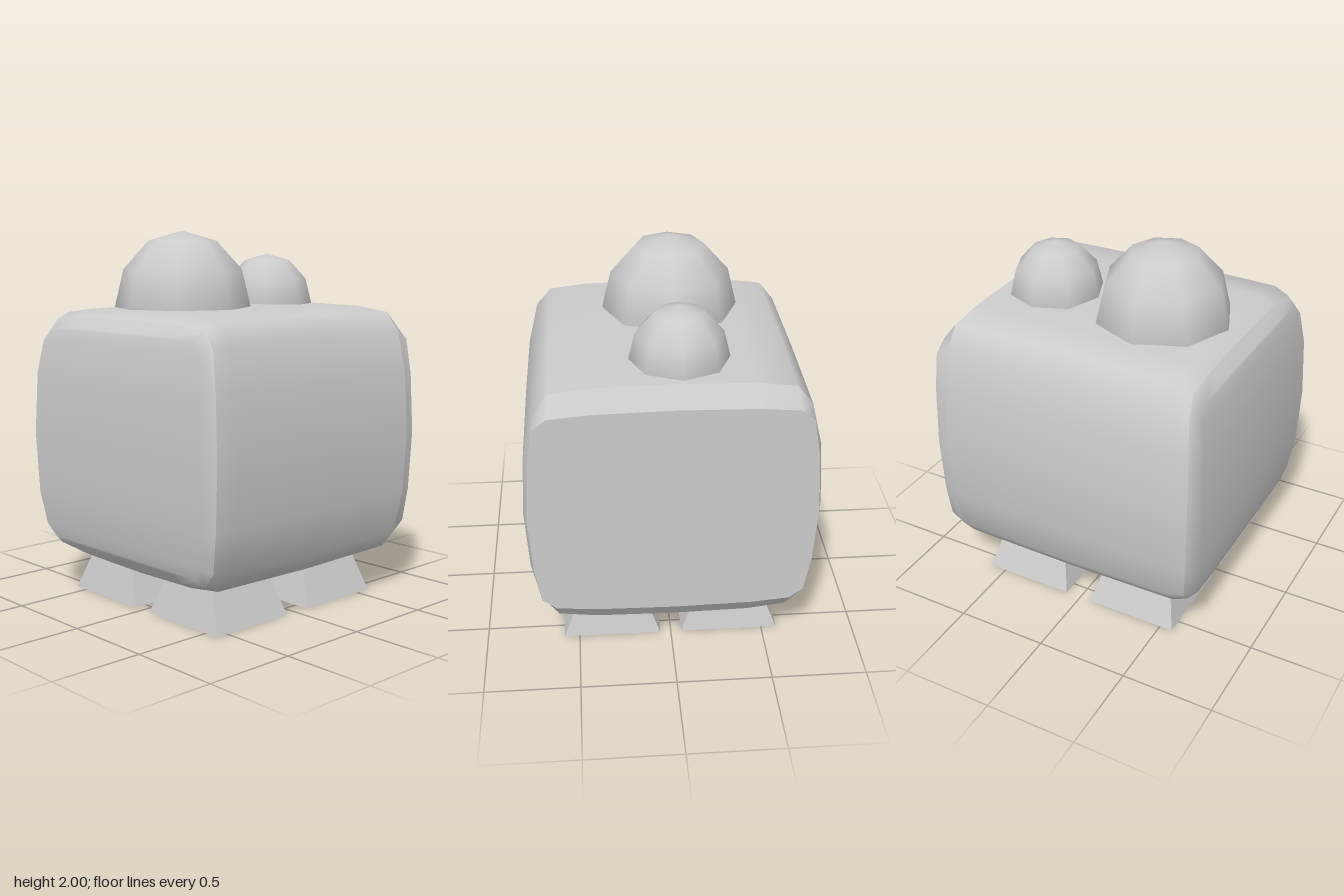
import * as THREE from 'three';

const grey = new THREE.MeshStandardMaterial({ color: 0xcccccc });
const MID = 0.9; // height of the body's middle

// Quarter cross-sections as [z, height from the middle], side to top.
const FULL = [[0.76, 0], [0.738, 0.33], [0.68, 0.57], [0.6, 0.67], [0.4, 0.695], [0, 0.705]];
const NEAR = [[0.755, 0], [0.735, 0.33], [0.68, 0.56], [0.6, 0.66], [0.4, 0.685], [0, 0.692]];
const LEFT_RIM = [[0.735, 0], [0.715, 0.33], [0.67, 0.54], [0.595, 0.625], [0.4, 0.645], [0, 0.65]];
const WALL = [[0.67, 0], [0.66, 0.33], [0.635, 0.51], [0.575, 0.575], [0.4, 0.587], [0, 0.59]];
const FLAT = [[0.735, 0], [0.715, 0.32], [0.68, 0.51], [0.61, 0.565], [0.4, 0.583], [0, 0.59]];

// Mirror a quarter into a closed ring of 20 points; x may vary with height.
function ring(quarter, xAt) {
  const pts = [];
  for (let i = 0; i < 20; i++) {
    const q = i % 10;
    const [z, h] = quarter[q <= 5 ? q : 10 - q];
    const sz = i > 5 && i < 15 ? -1 : 1;
    const sy = i > 10 ? -1 : 1;
    pts.push(new THREE.Vector3(xAt(h), MID + sy * h, sz * z));
  }
  return pts;
}

// Skin a row of rings along +x, with optional caps on the first and last.
function loft(name, rings, capStart = false, capEnd = false) {
  const index = [];
  for (let s = 0; s < rings.length - 1; s++) {
    for (let i = 0; i < 20; i++) {
      const j = (i + 1) % 20;
      const a = s * 20 + i, b = a + 20, c = s * 20 + j, d = c + 20;
      index.push(a, b, c, c, b, d);
    }
  }
  const cap = (base, flip) => {
    for (let k = -5; k < 5; k++) {
      const at = (i) => base + ((i + 20) % 20);
      const l0 = at(k), r0 = at(10 - k), l1 = at(k + 1), r1 = at(9 - k);
      const tris = [];
      if (l0 !== r0) tris.push([l0, r0, l1]);
      if (l1 !== r1) tris.push([l1, r0, r1]);
      for (const [a, b, c] of tris) index.push(...(flip ? [a, c, b] : [a, b, c]));
    }
  };
  if (capStart) cap(0, true);
  if (capEnd) cap((rings.length - 1) * 20, false);
  const geo = new THREE.BufferGeometry().setFromPoints(rings.flat());
  geo.setIndex(index);
  geo.computeVertexNormals();
  return part(name, geo);
}

function part(name, geo, x = 0, y = 0, z = 0) {
  const mesh = new THREE.Mesh(geo, grey);
  mesh.name = name;
  mesh.position.set(x, y, z);
  return mesh;
}

// Eight-sided half dome.
function dome(name, x, radius, height) {
  const geo = new THREE.SphereGeometry(1, 8, 3, 0, Math.PI * 2, 0, Math.PI / 2);
  geo.scale(radius, height, radius);
  return part(name, geo, x, 1.595, -0.052);
}

// Block foot that narrows towards the body.
function foot(name, x, z) {
  const geo = new THREE.BoxGeometry(0.506, 0.25, 0.524);
  const p = geo.attributes.position;
  for (let i = 0; i < p.count; i++) {
    if (p.getY(i) > 0) p.setXYZ(i, p.getX(i) * 0.75, p.getY(i), p.getZ(i) * 0.62);
  }
  geo.computeVertexNormals();
  return part(name, geo, x, 0.125, z);
}

export function createModel() {
  const model = new THREE.Group();
  model.name = 'domedCube';

  // Bulging body: one side wall is rounded, the other is cut flat.
  const body = new THREE.Group();
  body.name = 'body';
  const wall = ring(WALL, (h) => -0.77 + 0.06 * (h / 0.59) ** 2.5);
  const leftRim = ring(LEFT_RIM, (h) => -0.71 + 0.055 * (h / 0.65) ** 2.5);
  const shoulder = ring(NEAR, () => -0.58);
  const middle = ring(FULL, () => 0.05);
  const rightRim = ring(NEAR, () => 0.69);
  const flat = ring(FLAT, () => 0.765);
  body.add(
    loft('roundedWall', [wall, leftRim], true),
    loft('bodyShell', [leftRim, shoulder, middle, rightRim]),
    loft('bevel', [rightRim, flat]),
    loft('flatWall', [flat], false, true)
  );
  model.add(body);

  // Domes on top
  model.add(dome('largeDome', -0.23, 0.365, 0.405), dome('smallDome', 0.41, 0.255, 0.28));

  // Four feet
  for (const [side, x] of [['Right', -0.318], ['Left', 0.342]]) {
    model.add(foot('front' + side + 'Foot', x, 0.32), foot('back' + side + 'Foot', x, -0.32));
  }
  return model;
}
